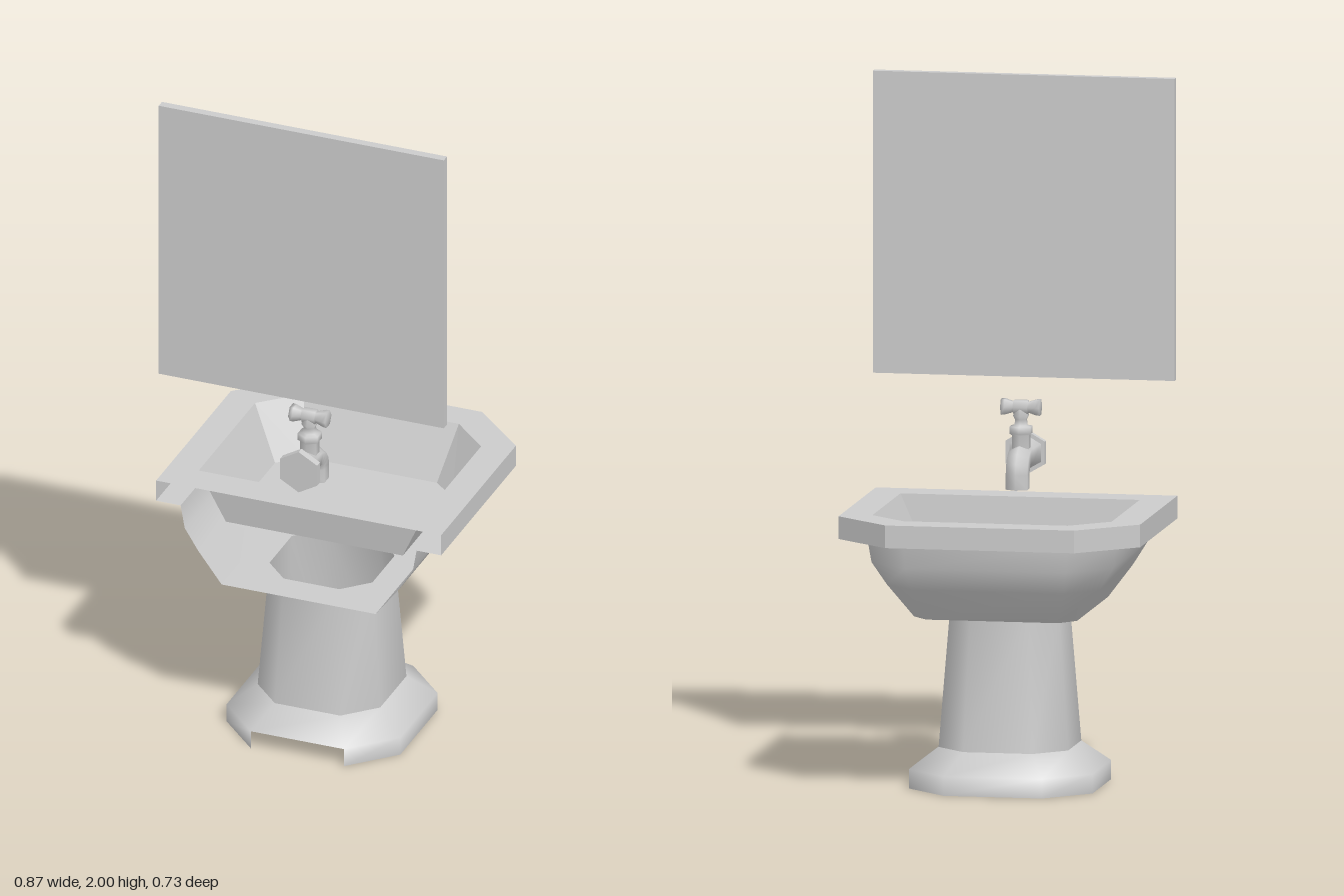
import * as THREE from 'three';

const ceramic = new THREE.MeshStandardMaterial({ color: 0xcccccc, side: THREE.DoubleSide });
ceramic.name = 'pale grey';

// Skin a list of rings (arrays of [x, y, z]); skip(i, j) leaves a panel out
function loft(rings, { closed = true, flat = false, skip = () => false } = {}) {
  const n = rings[0].length, index = [];
  for (let i = 0; i < rings.length - 1; i++) {
    for (let j = 0; j < (closed ? n : n - 1); j++) {
      if (skip(i, j)) continue;
      const a = i * n + j, b = i * n + (j + 1) % n;
      index.push(a, a + n, b, b, a + n, b + n);
    }
  }
  let g = new THREE.BufferGeometry();
  g.setAttribute('position', new THREE.Float32BufferAttribute(rings.flat(2), 3));
  g.setIndex(index);
  if (flat) g = g.toNonIndexed();
  g.computeVertexNormals();
  return g;
}

// Horizontal plate from [x, z] points, with an optional hole
function plate(points, y, hole) {
  const shape = new THREE.Shape(points.map(p => new THREE.Vector2(...p)));
  if (hole) shape.holes.push(new THREE.Path(hole.map(p => new THREE.Vector2(...p))));
  return new THREE.ShapeGeometry(shape).rotateX(Math.PI / 2).translate(0, y, 0);
}

// Rectangle with its two -z corners cut: half width, back z, cut start z, front half width, front z
const basinPlan = (w, back, side, fw, front) =>
  [[w, back], [w, side], [fw, front], [-fw, front], [-w, side], [-w, back]];

// Octagon around the pedestal axis: apothem and half length of a flat side
const octagon = (r, h) =>
  [[-h, r], [h, r], [r, h], [r, -h], [h, -r], [-h, -r], [-r, -h], [-r, h]].map(([x, z]) => [x, z + 0.1]);

const at = (points, y) => points.map(([x, z]) => [x, y, z]);

export function createModel() {
  const model = new THREE.Group();
  model.name = 'washbasinWithMirror';
  const add = (name, geometry, parent = model) => {
    const mesh = new THREE.Mesh(geometry, ceramic);
    mesh.name = name;
    parent.add(mesh);
    return mesh;
  };

  // Wall mirror
  add('mirror', new THREE.BoxGeometry(0.87, 0.865, 0.025).translate(0, 1.5675, 0.3225));

  // Basin: a shell left open towards the wall
  const basin = new THREE.Group();
  basin.name = 'basin';
  model.add(basin);
  const rim = basinPlan(0.435, 0.355, -0.215, 0.272, -0.365);
  const mouth = basinPlan(0.345, 0.255, -0.175, 0.237, -0.275);
  const floor = basinPlan(0.27, 0.235, -0.14, 0.2, -0.2);
  const bowl = [
    [0.735, basinPlan(0.36, 0.355, -0.175, 0.235, -0.285)],
    [0.665, basinPlan(0.348, 0.355, -0.172, 0.232, -0.278)],
    [0.6, basinPlan(0.307, 0.355, -0.155, 0.22, -0.248)],
    [0.505, basinPlan(0.235, 0.355, -0.12, 0.19, -0.175)],
  ];
  const bowlBottom = bowl[3][1], bowlTop = bowl[0][1];
  const columnTop = octagon(0.157, 0.085);
  add('rimTop', plate(rim, 0.8, mouth), basin);
  add('rimEdge', loft([at(rim, 0.8), at(rim, 0.735)], { closed: false, flat: true }), basin);
  add('rimUnderside', loft([at(rim, 0.735), at(bowlTop, 0.735)], { closed: false, flat: true }), basin);
  add('basinWalls', loft([at(mouth, 0.8), at(floor, 0.64)], { flat: true }), basin);
  add('basinFloor', plate(floor, 0.64), basin);
  add('bowlOuter', loft(bowl.map(([y, p]) => at(p, y)), { closed: false }), basin);
  add('bowlUnderside', plate(bowlBottom, 0.505, columnTop), basin);

  // Hollow pedestal with a notch at the foot, on the wall side
  const columnFoot = octagon(0.187, 0.1), foot = octagon(0.265, 0.142);
  add('pedestalColumn', loft([at(columnTop, 0.505), at(columnFoot, 0.115)]));
  add('pedestalFoot', loft([at(columnFoot, 0.115), at(foot, 0.055), at(foot, 0)],
    { skip: (i, j) => i === 1 && j === 0 }));

  // Six-sided tap
  const tap = new THREE.Group();
  tap.name = 'tap';
  model.add(tap);
  const flange = new THREE.CylinderGeometry(0.065, 0.065, 0.022, 6).toNonIndexed();
  flange.computeVertexNormals();
  add('tapWallPlate', flange.rotateX(Math.PI / 2).translate(0, 0.915, 0.344), tap);

  // Spout: flared root, straight run, elbow and outlet, given as [y, z, bend, radius]
  const spout = [[0.915, 0.333, 0, 0.052], [0.915, 0.3, 0, 0.036], [0.915, 0.265, 0, 0.036]];
  for (let k = 1; k <= 4; k++) {
    const a = k * Math.PI / 8;
    spout.push([0.87 + 0.045 * Math.cos(a), 0.265 - 0.047 * Math.sin(a), a, 0.036]);
  }
  spout.push([0.827, 0.218, Math.PI / 2, 0.036]);
  add('tapSpout', loft(spout.map(([y, z, a, r]) => Array.from({ length: 6 }, (_, j) => {
    const t = j * Math.PI / 3, u = r * Math.cos(t);
    return [r * Math.sin(t), y + u * Math.cos(a), z - u * Math.sin(a)];
  })), {}), tap);
  add('tapOutlet', new THREE.CircleGeometry(0.036, 6, Math.PI / 6)
    .rotateX(Math.PI / 2).translate(0, 0.828, 0.218), tap);

  // Valve stem and cross handle
  const lathe = pairs => new THREE.LatheGeometry(pairs.map(p => new THREE.Vector2(...p)), 6);
  add('tapStem', lathe([[0.028, 0.92], [0.028, 0.975], [0.035, 0.98], [0.035, 1.0],
    [0.02, 1.003], [0.018, 1.02], [0.024, 1.03], [0.018, 1.055]]).translate(0, 0, 0.27), tap);
  add('tapHandle', lathe([[0, -0.056], [0.026, -0.056], [0.025, -0.045], [0.017, -0.022], [0.022, -0.02],
    [0.022, 0.02], [0.017, 0.022], [0.025, 0.045], [0.026, 0.056], [0, 0.056]])
    .rotateZ(Math.PI / 2).translate(0, 1.055, 0.27), tap);

  return model;
}
